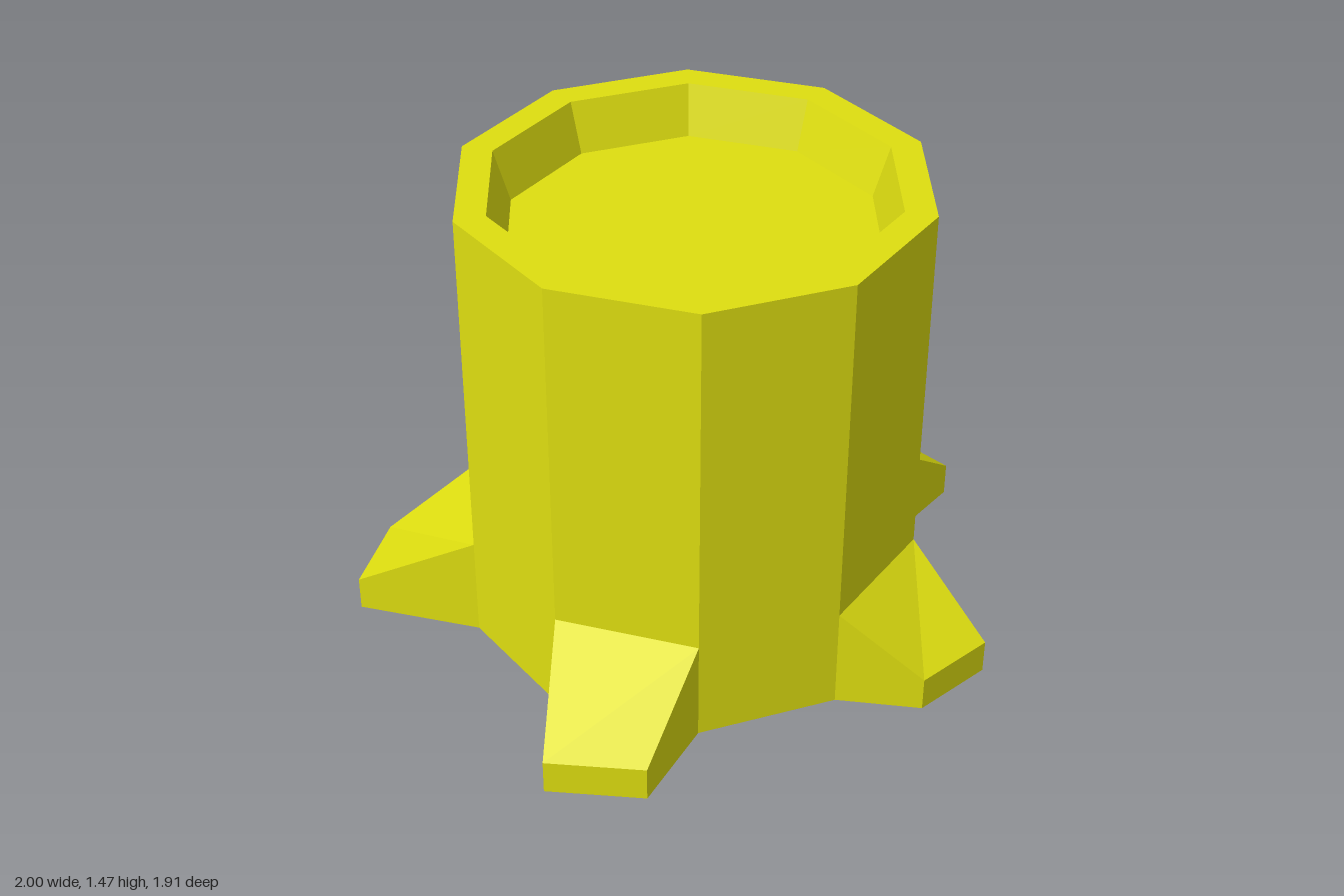
import * as THREE from 'three';

const SIDES = 10, CX = 0.03, CZ = 0.08;
const R = 0.705, RIM_R = 0.61, FLOOR_R = 0.56;
const TOP = 1.465, FLOOR_Y = 1.31, ROOT_Y = 0.33, TIP_Y = 0.11;

// Outer corners of each root (x, z), keyed by the trunk side it grows from
const ROOTS = {
  0: [[0.995, -0.08], [0.875, -0.295]],
  2: [[0.13, -0.96], [-0.12, -0.895]],
  4: [[-0.845, -0.37], [-1, -0.14]],
  6: [[-0.685, 0.83], [-0.415, 0.955]],
  8: [[0.48, 0.87], [0.725, 0.775]],
};

// Corner k of the ten-sided ring
function corner(k, r, y) {
  const a = (k / SIDES) * Math.PI * 2;
  return [CX + r * Math.cos(a), y, CZ - r * Math.sin(a)];
}

// Flat-faced geometry from four-cornered faces
function quads(faces) {
  const pos = faces.flatMap(([a, b, c, d]) => [a, b, c, a, c, d].flat());
  const geo = new THREE.BufferGeometry();
  geo.setAttribute('position', new THREE.Float32BufferAttribute(pos, 3));
  geo.computeVertexNormals();
  return geo;
}

// Ring of faces between two ten-sided outlines; bottom(k) sets the lower edge
function band(r0, bottom, r1, y1) {
  const faces = [];
  for (let k = 0; k < SIDES; k++) {
    const y0 = bottom(k);
    faces.push([corner(k, r0, y0), corner(k + 1, r0, y0), corner(k + 1, r1, y1), corner(k, r1, y1)]);
  }
  return quads(faces);
}

// Hollow root: sloping top, two cheeks and a blunt tip
function rootGeometry(k, [[ax, az], [bx, bz]]) {
  const a0 = corner(k, R, 0), a1 = corner(k, R, ROOT_Y);
  const b0 = corner(k + 1, R, 0), b1 = corner(k + 1, R, ROOT_Y);
  const ta0 = [ax, 0, az], ta1 = [ax, TIP_Y, az];
  const tb0 = [bx, 0, bz], tb1 = [bx, TIP_Y, bz];
  return quads([
    [ta1, tb1, b1, a1],
    [ta0, tb0, tb1, ta1],
    [a0, ta0, ta1, a1],
    [tb0, b0, b1, tb1],
  ]);
}

export function createModel() {
  const model = new THREE.Group();
  model.name = 'stump';
  const yellow = new THREE.MeshStandardMaterial({ color: 0xdede10, flatShading: true, side: THREE.DoubleSide });
  yellow.name = 'yellow';

  const add = (name, geo) => {
    const mesh = new THREE.Mesh(geo, yellow);
    mesh.name = name;
    model.add(mesh);
    return mesh;
  };

  // Trunk, open underneath and where the roots join
  add('trunk', band(R, (k) => (k in ROOTS ? ROOT_Y : 0), R, TOP));
  // Rim and shallow recess on top
  add('rim', band(R, () => TOP, RIM_R, TOP));
  add('recessWall', band(RIM_R, () => TOP, FLOOR_R, FLOOR_Y));
  const floor = add('recessFloor', new THREE.CircleGeometry(FLOOR_R, SIDES).rotateX(-Math.PI / 2));
  floor.position.set(CX, FLOOR_Y, CZ);

  // Roots on every second side
  for (const [k, tips] of Object.entries(ROOTS)) add('root', rootGeometry(Number(k), tips));
  return model;
}
